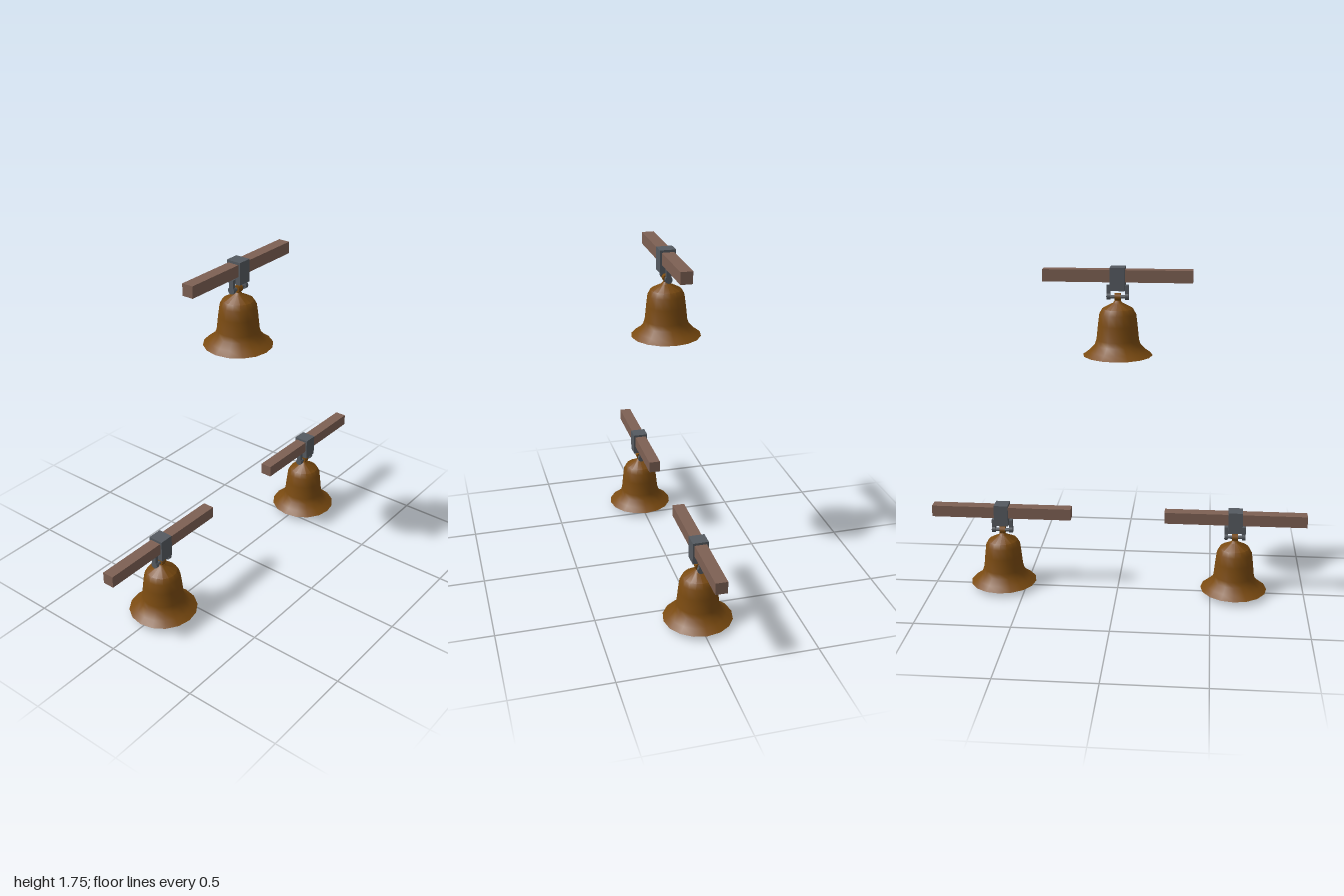
import * as THREE from 'three';
import { toCreasedNormals } from 'three/addons/utils/BufferGeometryUtils.js';

const bronze = new THREE.MeshStandardMaterial({ color: 0x7a4a10 });
const wood = new THREE.MeshStandardMaterial({ color: 0x7d6053 });
const iron = new THREE.MeshStandardMaterial({ color: 0x555a60 });

function add(group, name, geometry, material, x = 0, y = 0, z = 0) {
  const mesh = new THREE.Mesh(geometry, material);
  mesh.name = name;
  mesh.position.set(x, y, z);
  group.add(mesh);
  return mesh;
}

// Shell profile: down the inside, round the lip, up the outside
function bellGeometry() {
  const profile = [
    [0, 0.265], [0.062, 0.252], [0.083, 0.215], [0.096, 0.12], [0.104, 0.08], [0.125, 0.053],
    [0.177, 0.025],
    [0.145, 0.048], [0.117, 0.078], [0.108, 0.105], [0.1, 0.18], [0.093, 0.235], [0.078, 0.262],
    [0.024, 0.29], [0.015, 0.302], [0, 0.302],
  ].map(([r, y]) => new THREE.Vector2(r, y));
  return toCreasedNormals(new THREE.LatheGeometry(profile, 16), 0.6);
}

// Square iron collar with an opening for the beam
function collarGeometry() {
  const shape = new THREE.Shape();
  shape.moveTo(-0.04, 0.355).lineTo(0.04, 0.355).lineTo(0.04, 0.47).lineTo(-0.04, 0.47).closePath();
  const hole = new THREE.Path();
  hole.moveTo(-0.031, 0.397).lineTo(-0.031, 0.458).lineTo(0.031, 0.458).lineTo(0.031, 0.397).closePath();
  shape.holes.push(hole);
  const geometry = new THREE.ExtrudeGeometry(shape, { depth: 0.075, bevelEnabled: false });
  return geometry.translate(0, 0, -0.0375).rotateY(Math.PI / 2);
}

function hangingBell() {
  const unit = new THREE.Group();
  unit.name = 'hangingBell';

  // Beam and collar
  add(unit, 'beam', new THREE.BoxGeometry(0.75, 0.061, 0.061), wood, 0, 0.4275, 0);
  add(unit, 'beamCollar', collarGeometry(), iron);

  // Hanger: two legs with round eyes, joined by a bar
  for (const side of [-1, 1]) {
    add(unit, 'hangerLeg', new THREE.BoxGeometry(0.018, 0.058, 0.024), iron, side * 0.047, 0.351, 0);
    add(unit, 'hangerEye', new THREE.CylinderGeometry(0.019, 0.019, 0.018, 12), iron, side * 0.047, 0.324, 0)
      .rotation.z = Math.PI / 2;
  }
  add(unit, 'hangerTopBar', new THREE.BoxGeometry(0.112, 0.018, 0.024), iron, 0, 0.371, 0);
  add(unit, 'hangerBar', new THREE.CylinderGeometry(0.009, 0.009, 0.09, 10), iron, 0, 0.32, 0)
    .rotation.z = Math.PI / 2;

  // Bell with its crown loop
  add(unit, 'bellShell', bellGeometry(), bronze);
  add(unit, 'crownStem', new THREE.CylinderGeometry(0.013, 0.015, 0.03, 10), bronze, 0, 0.298, 0);
  add(unit, 'crownLoop', new THREE.CylinderGeometry(0.019, 0.019, 0.03, 12), bronze, 0, 0.32, 0)
    .rotation.z = Math.PI / 2;

  // Clapper
  add(unit, 'clapperRod', new THREE.CylinderGeometry(0.008, 0.008, 0.23, 8), bronze, 0, 0.145, 0);
  add(unit, 'clapperBall', new THREE.SphereGeometry(0.024, 12, 8), bronze, 0, 0.024, 0);
  return unit;
}

export function createModel() {
  const model = new THREE.Group();
  model.name = 'threeBells';
  for (const [x, y] of [[-0.625, 0], [0.625, 0], [0, 1.277]]) {
    const unit = hangingBell();
    unit.position.set(x, y, 0);
    model.add(unit);
  }
  return model;
}
